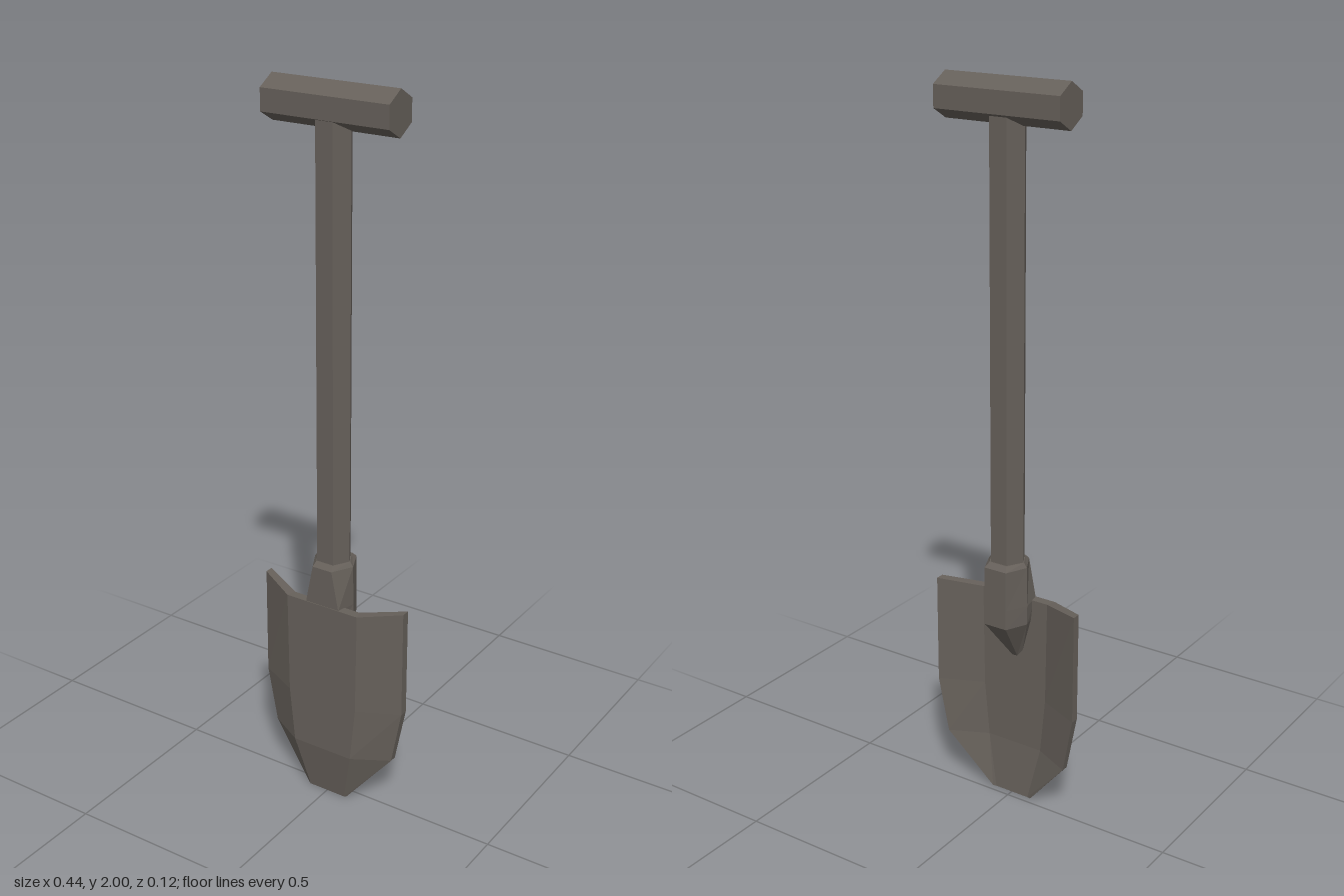
import * as THREE from 'three';

// Lofts a flat-shaded solid through rings listed bottom to top.
// Each ring runs right, front, left, back; caps are strips joining front to back.
function loft(rings) {
  const pos = [];
  const tri = (a, b, c) => pos.push(...a, ...b, ...c);
  const n = rings[0].length;
  for (let i = 0; i < rings.length - 1; i++) {
    const lo = rings[i], hi = rings[i + 1];
    for (let j = 0; j < n; j++) {
      const k = (j + 1) % n;
      tri(lo[j], hi[j], lo[k]);
      tri(lo[k], hi[j], hi[k]);
    }
  }
  const bottom = rings[0], top = rings[rings.length - 1];
  for (let j = 0; j < n / 2 - 1; j++) {
    const q = [j, j + 1, n - 2 - j, n - 1 - j];
    const [a, b, c, d] = q.map(i => bottom[i]);
    tri(a, b, c);
    tri(a, c, d);
    const [e, f, g, h] = q.map(i => top[i]);
    tri(e, g, f);
    tri(e, h, g);
  }
  const geo = new THREE.BufferGeometry();
  geo.setAttribute('position', new THREE.Float32BufferAttribute(pos, 3));
  geo.computeVertexNormals();
  return geo;
}

// Dished blade section: flat middle pushed forward, wings swept back
function bladeRing({ yo, yi, xo, xi, front, back, wingFront, wingBack }) {
  return [
    [xo, yo, wingFront], [xi, yi, front], [-xi, yi, front], [-xo, yo, wingFront],
    [-xo, yo, wingBack], [-xi * 0.93, yi, back], [xi * 0.93, yi, back], [xo, yo, wingBack],
  ];
}

// Six-sided socket section
function socketRing(y, side, sideZ, frontX, frontZ, backX, backZ) {
  return [
    [side, y, sideZ], [frontX, y, frontZ], [-frontX, y, frontZ],
    [-side, y, sideZ], [-backX, y, backZ], [backX, y, backZ],
  ];
}

export function createModel() {
  const group = new THREE.Group();
  const darkMetal = new THREE.MeshStandardMaterial({ color: 0x66605a });
  darkMetal.name = 'darkMetal';
  darkMetal.flatShading = true;
  const add = (name, geo) => {
    const mesh = new THREE.Mesh(geo, darkMetal);
    mesh.name = name;
    group.add(mesh);
    return mesh;
  };

  // Blade, from the blunt tip up to the shoulders
  const z = { front: 0.06, back: 0.034, wingFront: 0.004, wingBack: -0.02 };
  add('blade', loft([
    { yo: 0, yi: 0, xo: 0.063, xi: 0.057, front: 0.035, back: 0.02, wingFront: 0.031, wingBack: 0.018 },
    { ...z, yo: 0.155, yi: 0.155, xo: 0.192, xi: 0.092, wingBack: -0.016 },
    { ...z, yo: 0.315, yi: 0.315, xo: 0.222, xi: 0.108 },
    { ...z, yo: 0.627, yi: 0.612, xo: 0.222, xi: 0.112 },
  ].map(bladeRing)));

  // Socket, tapering into the hollow back of the blade
  add('socket', loft([
    socketRing(0.43, 0.018, 0.042, 0.012, 0.048, 0.008, 0.034),
    socketRing(0.555, 0.062, 0, 0.05, 0.045, 0.034, -0.06),
    socketRing(0.61, 0.063, 0, 0.052, 0.058, 0.034, -0.06),
    socketRing(0.722, 0.061, 0, 0.03, 0.058, 0.034, -0.06),
    socketRing(0.735, 0.052, 0, 0.026, 0.046, 0.027, -0.047),
  ]));

  // Hexagonal shaft with a flat facing forward
  const shaft = new THREE.CylinderGeometry(0.05, 0.05, 1.22, 6);
  shaft.rotateY(Math.PI / 6);
  shaft.translate(0, 1.31, 0);
  add('shaft', shaft);

  // Hexagonal crossbar grip with a ridge on top
  const grip = new THREE.CylinderGeometry(0.058, 0.058, 0.366, 6);
  grip.rotateZ(Math.PI / 2);
  // Keep one corner pointing straight up
  grip.rotateX(Math.PI / 2);
  grip.translate(0, 1.942, -0.004);
  add('grip', grip);

  return group;
}
